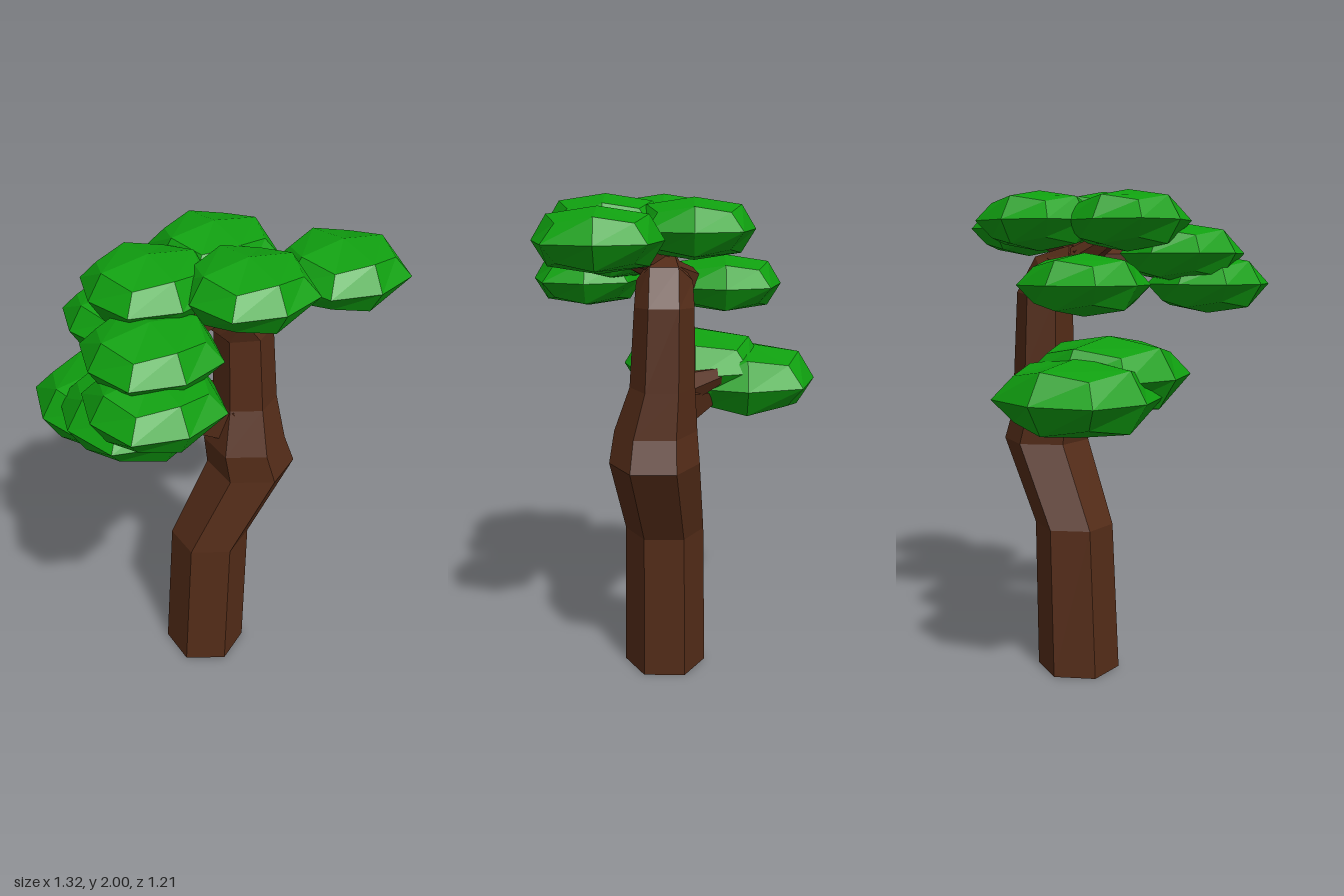
import * as THREE from 'three';

const bark = new THREE.MeshStandardMaterial({ color: 0x542c18, flatShading: true });
const leaf = new THREE.MeshStandardMaterial({ color: 0x10a010, flatShading: true });

// Six-sided trunk lofted through rings [x, y, z, radius, tilt about z]
function trunkGeometry(rings) {
  const n = 6, pos = [], idx = [];
  for (const [x, y, z, r, tilt = 0] of rings) {
    for (let k = 0; k < n; k++) {
      const a = (k / n) * Math.PI * 2, u = Math.sin(a) * r;
      pos.push(x + u * Math.cos(tilt), y + u * Math.sin(tilt), z + Math.cos(a) * r);
    }
  }
  for (let i = 0; i < rings.length - 1; i++) {
    for (let k = 0; k < n; k++) {
      const a = i * n + k, b = i * n + (k + 1) % n;
      idx.push(a, b, b + n, a, b + n, a + n);
    }
  }
  // End caps
  const last = (rings.length - 1) * n;
  for (let k = 1; k < n - 1; k++) {
    idx.push(0, k + 1, k, last, last + k, last + k + 1);
  }
  const g = new THREE.BufferGeometry();
  g.setAttribute('position', new THREE.Float32BufferAttribute(pos, 3));
  g.setIndex(idx);
  const flat = g.toNonIndexed();
  flat.computeVertexNormals();
  return flat;
}

// Tapered six-sided limb between two points
function branch(name, from, to, r0, r1) {
  const a = new THREE.Vector3(...from), b = new THREE.Vector3(...to);
  const dir = b.clone().sub(a);
  const mesh = new THREE.Mesh(new THREE.CylinderGeometry(r1, r0, dir.length(), 6), bark);
  mesh.position.copy(a).add(b).multiplyScalar(0.5);
  mesh.quaternion.setFromUnitVectors(new THREE.Vector3(0, 1, 0), dir.normalize());
  mesh.name = name;
  return mesh;
}

// Once-subdivided cube rounded off: face centres, edge middles and corners each get their own reach
function leafGeometry() {
  const g = new THREE.BoxGeometry(2, 2, 2, 2, 2, 2).toNonIndexed();
  const p = g.attributes.position, reach = [0, 1, 0.765, 0.57];
  for (let i = 0; i < p.count; i++) {
    const v = [p.getX(i), p.getY(i), p.getZ(i)].map(Math.round);
    const s = reach[v.filter((c) => c !== 0).length];
    p.setXYZ(i, v[0] * s, v[1] * s, v[2] * s);
  }
  g.computeVertexNormals();
  return g;
}

export function createModel() {
  const tree = new THREE.Group();
  tree.name = 'tree';

  const trunk = new THREE.Mesh(trunkGeometry([
    [-0.02, 0, 0.033, 0.173],
    [0.005, 0.626, 0.033, 0.163],
    [0.18, 0.965, 0.07, 0.18],
    [0.15, 1.09, 0.065, 0.165],
    [0.165, 1.27, 0.038, 0.128],
    [0.155, 1.58, 0.03, 0.116, 0.08],
    [0.085, 1.675, 0.03, 0.11, 0.65],
    [-0.02, 1.72, 0.03, 0.07, 1.2],
  ]), bark);
  trunk.name = 'trunk';
  tree.add(trunk);

  // Limbs reaching into the foliage
  tree.add(
    branch('lowerBranch', [0.13, 1.19, 0.03], [-0.19, 1.16, -0.19], 0.13, 0.025),
    branch('lowerTwig', [0.1, 1.24, 0], [-0.08, 1.29, -0.26], 0.08, 0.02),
    branch('upperRightBranch', [0.06, 1.69, 0.03], [-0.21, 1.63, -0.14], 0.08, 0.035),
    branch('upperFrontBranch', [0.04, 1.71, 0.04], [-0.28, 1.73, 0.22], 0.065, 0.03),
    branch('upperLeftBranch', [-0.05, 1.73, 0.03], [0.36, 1.82, 0.22], 0.055, 0.03),
    branch('crownBranch', [-0.02, 1.72, 0.03], [-0.2, 1.82, 0.04], 0.06, 0.03),
  );

  // Flattened leaf clumps: x, y, z, radius (half as tall as wide)
  const clumps = new THREE.Group();
  clumps.name = 'foliage';
  const geometry = leafGeometry();
  [
    [-0.268, 1.217, -0.308, 0.3],
    [-0.255, 1.283, -0.092, 0.3],
    [-0.224, 1.628, -0.213, 0.236],
    [-0.25, 1.87, 0.037, 0.236],
    [0.09, 1.872, -0.083, 0.236],
    [0.018, 1.882, 0.257, 0.236],
    [0.42, 1.855, 0.257, 0.236],
    [-0.368, 1.745, 0.257, 0.236],
    [-0.424, 1.625, 0.37, 0.236],
  ].forEach(([x, y, z, r], i) => {
    const clump = new THREE.Mesh(geometry, leaf);
    clump.position.set(x, y, z);
    clump.scale.set(r, r * 0.5, r);
    clump.name = `leafClump${i + 1}`;
    clumps.add(clump);
  });
  tree.add(clumps);
  return tree;
}
